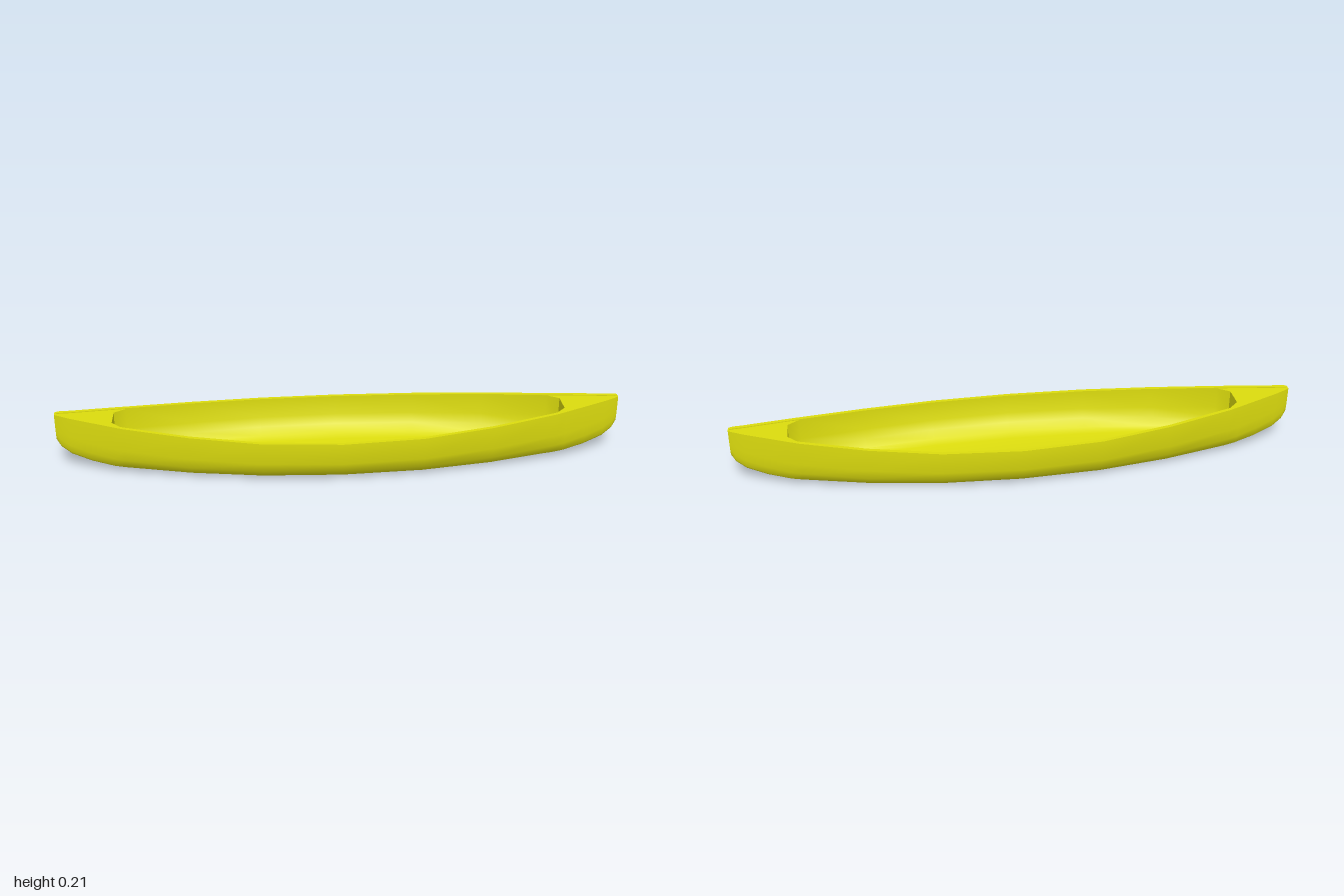
import * as THREE from 'three';
import { toCreasedNormals } from 'three/addons/utils/BufferGeometryUtils.js';

// Half-hull stations: x, half width, gunwale height, keel height
const HALF = [
  [0, 0.202, 0.153, 0], [0.28, 0.187, 0.157, 0.001], [0.53, 0.145, 0.169, 0.004],
  [0.76, 0.09, 0.185, 0.013], [0.8, 0.078, 0.189, 0.016], [0.88, 0.053, 0.197, 0.033],
  [0.95, 0.031, 0.204, 0.058], [0.985, 0.019, 0.209, 0.085], [1, 0.011, 0.21, 0.112],
];
// Cross-section from gunwale to keel: fraction of half width, fraction of height
const SECTION = [[1, 1], [1, 0.5], [0.92, 0.26], [0.78, 0.08], [0.6, 0.02], [0, 0]];
const RIM = 0.014;
const LIP = 0.003;

const bothEnds = (list) => [
  ...list.slice(1).reverse().map(([x, ...rest]) => [-x, ...rest]), ...list,
];

// Full cross-section from the +z gunwale round the keel to the -z gunwale
function section([x, w, top, keel]) {
  const side = SECTION.map(([u, v]) => [x, keel + (top - keel) * v, w * u]);
  const other = side.slice(0, -1).reverse().map(([a, b, c]) => [a, b, -c]);
  return [...side, ...other];
}

// Skin between successive rows of points
function loft(rows, flip = false) {
  const n = rows[0].length;
  const index = [];
  for (let i = 0; i < rows.length - 1; i++) {
    for (let j = 0; j < n - 1; j++) {
      const a = i * n + j, c = a + 1, b = a + n, d = b + 1;
      index.push(...(flip ? [a, b, c, b, d, c] : [a, c, b, b, c, d]));
    }
  }
  const g = new THREE.BufferGeometry();
  g.setAttribute('position', new THREE.Float32BufferAttribute(rows.flat(2), 3));
  g.setIndex(index);
  g.computeVertexNormals();
  return toCreasedNormals(g, 0.9);
}

const mirror = (rows, sx, sz) => rows.map((r) => r.map(([x, y, z]) => [x * sx, y, z * sz]));

export function createModel() {
  const canoe = new THREE.Group();
  canoe.name = 'canoe';
  const yellow = new THREE.MeshStandardMaterial({ color: 0xdcdc0e });
  yellow.name = 'yellow';
  const add = (name, geometry) => {
    const mesh = new THREE.Mesh(geometry, yellow);
    mesh.name = name;
    canoe.add(mesh);
  };

  // Outer hull
  add('outerHull', loft(bothEnds(HALF).map(section)));

  // Inner hull, narrowing to a blunt end under each deck
  const inner = HALF.slice(0, 5).map(([x, w, top, keel], i) =>
    [x, i === 4 ? 0.04 : w - RIM, top - LIP, keel + 0.012]);
  add('innerHull', loft(bothEnds(inner).map(section), true));

  // Flat rim with a small inner lip, one on each side
  const rim = bothEnds(HALF).map(([x, w, top]) => {
    const z = Math.max(w - RIM, 0);
    return [[x, top, w], [x, top, z], [x, top - LIP, z]];
  });
  add('leftRim', loft(mirror(rim, 1, 1), true));
  add('rightRim', loft(mirror(rim, 1, -1), false));

  // Half-deck strips from the cut corner of the opening to the tip
  const deck = HALF.slice(3).map(([x, w, top], i) => {
    const z = Math.max(w - RIM, 0);
    return [[x, top - LIP, z], [x, top - LIP, i === 0 ? z : i === 1 ? 0.04 : 0]];
  });
  deck.splice(2, 0, [deck[1][0], [deck[1][1][0], deck[1][1][1], 0]]);

  // Closing faces across a cross-section
  const face = (station) => {
    const s = section(station);
    return SECTION.map((_, i) => [s[i], s[s.length - 1 - i]]);
  };
  for (const sx of [1, -1]) {
    const end = sx > 0 ? 'left' : 'right';
    for (const sz of [1, -1]) {
      add(end + (sz > 0 ? 'FrontDeck' : 'BackDeck'), loft(mirror(deck, sx, sz), sx * sz > 0));
    }
    add(end + 'Stem', loft(mirror(face(HALF[8]), sx, 1), sx > 0));
    add(end + 'Bulkhead', loft(mirror(face(inner[4]), sx, 1), sx < 0));
  }
  return canoe;
}
